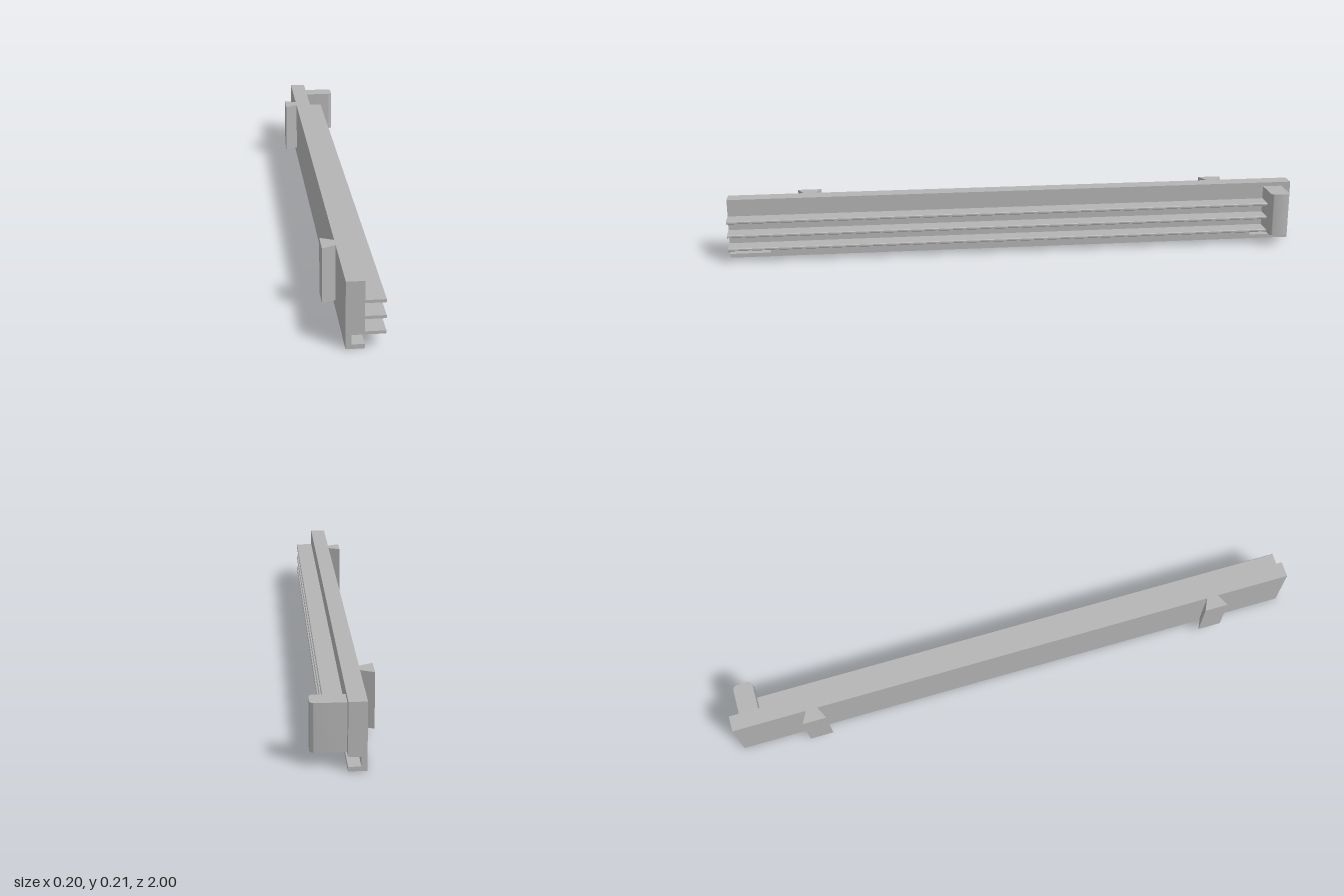
import * as THREE from 'three';
import { toCreasedNormals } from 'three/addons/utils/BufferGeometryUtils.js';

export function createModel() {
  const model = new THREE.Group();
  model.name = 'finnedRail';
  const grey = new THREE.MeshStandardMaterial({ color: 0xb4b4b4 });
  grey.name = 'plain grey';

  const add = (name, geometry) => {
    const mesh = new THREE.Mesh(geometry, grey);
    mesh.name = name;
    model.add(mesh);
  };
  const outline = (points) => new THREE.Shape(points.map(([x, y]) => new THREE.Vector2(x, y)));
  // Extrude an x-y profile along z
  const alongZ = (shape, z0, z1) =>
    new THREE.ExtrudeGeometry(shape, { depth: z1 - z0, bevelEnabled: false }).translate(0, 0, z0);
  // Extrude an x-(-z) plan upwards
  const upward = (shape, y0, y1) =>
    new THREE.ExtrudeGeometry(shape, { depth: y1 - y0, bevelEnabled: false, curveSegments: 8 })
      .rotateX(-Math.PI / 2).translate(0, y0, 0);

  const back = -0.06, face = -0.005, top = 0.21, notchZ = 0.86;

  // Main bar, with a side notch cut into the foot of each end
  const solid = outline([[back, 0], [face, 0], [face, top], [back, top]]);
  const notched = outline([
    [back, 0], [face, 0], [face, 0.014], [-0.043, 0.014],
    [-0.043, 0.044], [face, 0.044], [face, top], [back, top],
  ]);
  add('barMiddle', alongZ(solid, -notchZ, notchZ));
  add('barFrontEnd', alongZ(notched, notchZ, 1));
  add('barBackEnd', alongZ(notched, -1, -notchZ));

  // Three thin fins with slightly eased outer edges
  const tip = 0.057, ease = 0.002, thick = 0.0095;
  [0.044, 0.092, 0.1415].forEach((y, i) => {
    const profile = outline([
      [face, y], [tip - ease, y], [tip, y + ease],
      [tip, y + thick - ease], [tip - ease, y + thick], [face, y + thick],
    ]);
    add(`fin${i + 1}`, alongZ(profile, -0.9, 1));
  });

  // End stop block with rounded outer corners
  const outer = 0.102, near = 0.9, far = 0.967, r = 0.015;
  const plan = new THREE.Shape();
  plan.moveTo(face, near);
  plan.lineTo(outer - r, near);
  plan.absarc(outer - r, near + r, r, -Math.PI / 2, 0, false);
  plan.lineTo(outer, far - r);
  plan.absarc(outer - r, far - r, r, 0, Math.PI / 2, false);
  plan.lineTo(face, far);
  plan.closePath();
  add('endStop', toCreasedNormals(upward(plan, 0.045, 0.196), 0.6));

  // Dovetail keys on the rear face
  for (const [name, z] of [['frontDovetail', 0.72], ['backDovetail', -0.725]]) {
    const key = outline([
      [back, -z - 0.02], [back, -z + 0.02], [-0.103, -z + 0.041], [-0.103, -z - 0.041],
    ]);
    add(name, upward(key, 0.03, top));
  }

  return model;
}
